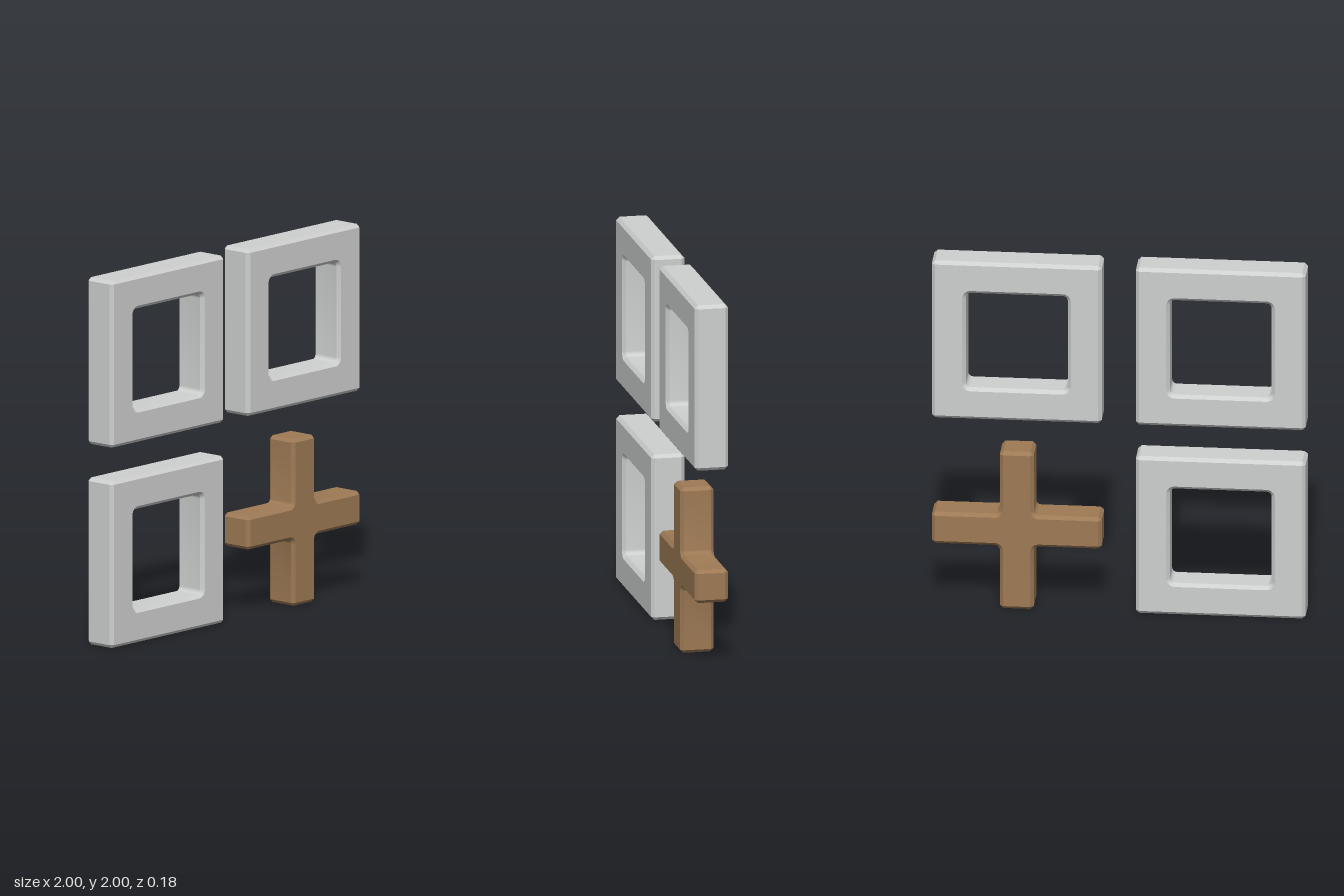
import * as THREE from 'three';
import { toCreasedNormals } from 'three/addons/utils/BufferGeometryUtils.js';

const UNIT = 2 / 11;      // bar thickness; each tile is 5 units, with a 1 unit gap
const DEPTH = UNIT / 2;   // half depth
const BEVEL = 0.018;
const FILLET = 0.027;
const ARC = 6;

// Right-angled corners, solid on the left -> matching bevelled edge and face loops.
// Outward corners are chamfered, inward corners get a rounded fillet.
function bevelLoop(corners) {
  const edge = [], face = [];
  const pts = corners.map(([x, y]) => new THREE.Vector2(x, y));
  pts.forEach((p, i) => {
    const n = pts.length;
    const d0 = p.clone().sub(pts[(i + n - 1) % n]).normalize();
    const d1 = pts[(i + 1) % n].clone().sub(p).normalize();
    const move = (a, b) => p.clone().addScaledVector(d0, a).addScaledVector(d1, b);
    if (d0.cross(d1) > 0) {
      edge.push(move(-BEVEL, 0), move(0, BEVEL));
      face.push(move(-BEVEL, BEVEL), move(-BEVEL, BEVEL));
    } else {
      for (let k = 0; k <= ARC; k++) {
        const a = (k / ARC) * Math.PI / 2;
        const at = (r) => move(-FILLET + r * Math.sin(a), FILLET - r * Math.cos(a));
        edge.push(at(FILLET));
        face.push(at(FILLET + BEVEL));
      }
    }
  });
  return { edge, face };
}

// Bevelled slab from an outer loop and optional hole loops
function slab(outer, holes = []) {
  const positions = [];
  const tri = (a, b, c) => {
    const area = b.clone().sub(a).cross(c.clone().sub(a)).length();
    if (area > 1e-9) for (const v of [a, b, c]) positions.push(v.x, v.y, v.z);
  };
  const at = (p, z) => new THREE.Vector3(p.x, p.y, z);
  const loops = [outer, ...holes].map(bevelLoop);

  // side walls and bevels
  for (const { edge, face } of loops) {
    const levels = [[face, -DEPTH], [edge, BEVEL - DEPTH], [edge, DEPTH - BEVEL], [face, DEPTH]];
    for (let l = 0; l < 3; l++) {
      const [low, z0] = levels[l], [high, z1] = levels[l + 1];
      for (let i = 0; i < edge.length; i++) {
        const j = (i + 1) % edge.length;
        const a = at(low[i], z0), b = at(low[j], z0), c = at(high[j], z1), d = at(high[i], z1);
        tri(a, b, c);
        tri(a, c, d);
      }
    }
  }

  // front and back faces
  const flat = loops.map(({ face }) =>
    face.filter((p, i) => p.distanceTo(face[(i + 1) % face.length]) > 1e-6));
  const all = flat.flat();
  for (const [a, b, c] of THREE.ShapeUtils.triangulateShape(flat[0], flat.slice(1))) {
    tri(at(all[a], DEPTH), at(all[b], DEPTH), at(all[c], DEPTH));
    tri(at(all[c], -DEPTH), at(all[b], -DEPTH), at(all[a], -DEPTH));
  }

  const geometry = new THREE.BufferGeometry();
  geometry.setAttribute('position', new THREE.Float32BufferAttribute(positions, 3));
  return toCreasedNormals(geometry, 0.5);
}

const square = (h) => [[-h, -h], [h, -h], [h, h], [-h, h]];

export function createModel() {
  const group = new THREE.Group();
  group.name = 'tileGrid';

  const grey = new THREE.MeshStandardMaterial({ color: 0xced0cf });
  grey.name = 'light grey';
  const brown = new THREE.MeshStandardMaterial({ color: 0x9e7a55 });
  brown.name = 'brown';

  const add = (name, geometry, material, x, y) => {
    const mesh = new THREE.Mesh(geometry, material);
    mesh.name = name;
    mesh.position.set(x, y, 0);
    group.add(mesh);
  };

  const near = 2.5 * UNIT, far = 8.5 * UNIT, side = 3 * UNIT;

  // three square frames
  const frame = slab(square(2.5 * UNIT), [square(1.5 * UNIT).reverse()]);
  add('topRightFrame', frame, grey, -side, far);
  add('topLeftFrame', frame, grey, side, far);
  add('bottomRightFrame', frame, grey, -side, near);

  // plus sign: one arm outline turned four times
  const w = UNIT / 2, l = 2.5 * UNIT;
  const plus = [];
  for (let k = 0; k < 4; k++) {
    const c = [1, 0, -1, 0][k], s = [0, 1, 0, -1][k];
    for (const [x, y] of [[l, -w], [l, w], [w, w]]) plus.push([c * x - s * y, s * x + c * y]);
  }
  add('plusSign', slab(plus), brown, side, near);

  return group;
}
